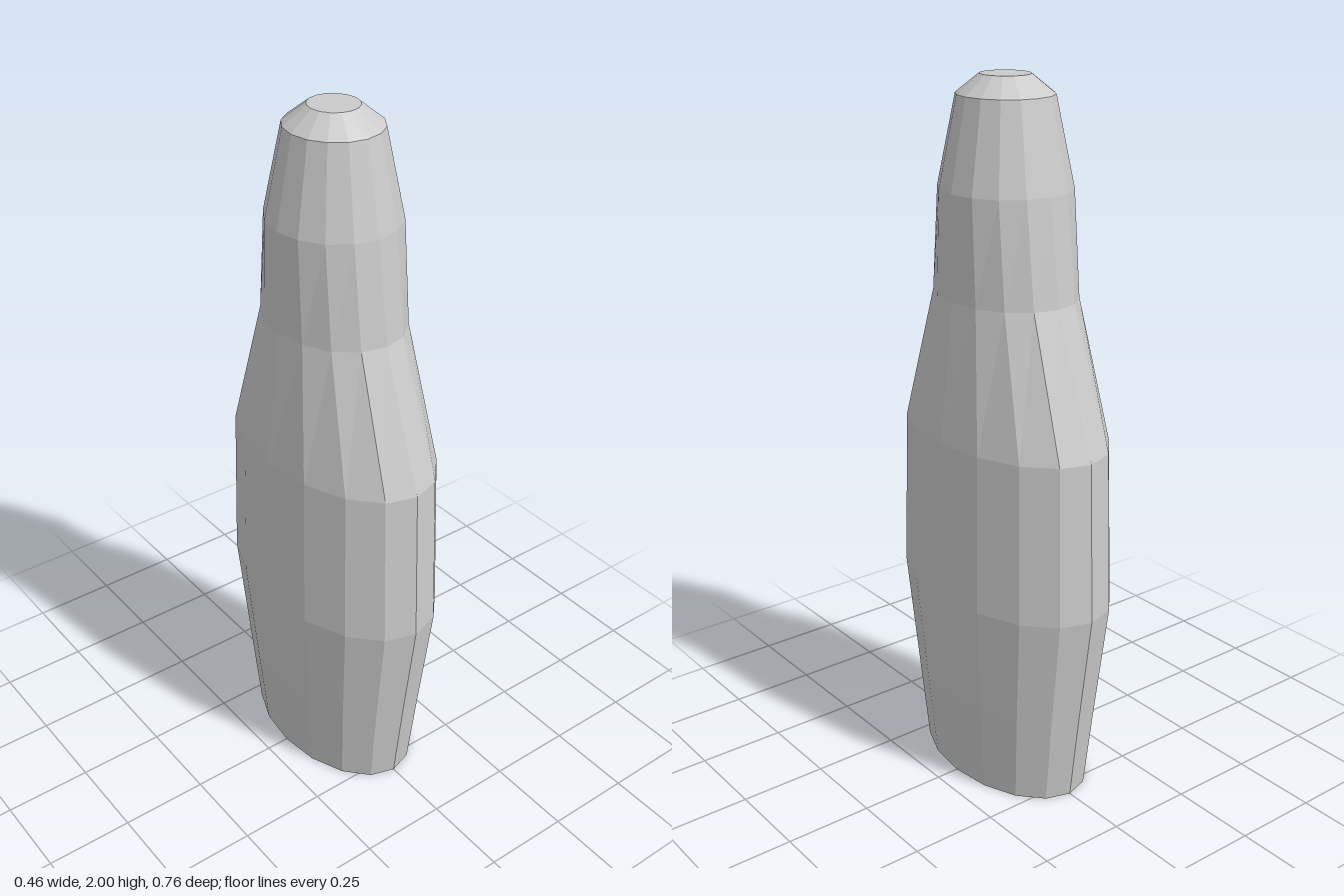
import * as THREE from 'three';

// Oval cross-sections from the base up: [height, half width, half depth]
const RINGS = [
  [0, 0.183, 0.3],
  [0.26, 0.205, 0.333],
  [0.585, 0.23, 0.378],
  [1.04, 0.22, 0.362],
  [1.425, 0.178, 0.222],
  [1.71, 0.177, 0.187],
  [1.95, 0.128, 0.135],
  [2, 0.067, 0.07],
];

// Capped 16-sided unit column whose rows are moved onto the rings
function loftOvals(rings, sides) {
  const spans = rings.length - 1;
  const geometry = new THREE.CylinderGeometry(1, 1, spans, sides, spans);
  const pos = geometry.attributes.position;
  for (let i = 0; i < pos.count; i++) {
    const [y, rx, rz] = rings[Math.round(pos.getY(i) + spans / 2)];
    pos.setXYZ(i, pos.getX(i) * rx, y, pos.getZ(i) * rz);
  }
  geometry.computeVertexNormals();
  return geometry;
}

export function createModel() {
  const group = new THREE.Group();
  group.name = 'taperedOvalColumn';

  // Faceted body with flat base and bevelled tip
  const material = new THREE.MeshStandardMaterial({ color: 0xcccccc, flatShading: true });
  const body = new THREE.Mesh(loftOvals(RINGS, 16), material);
  body.name = 'body';
  group.add(body);

  return group;
}
